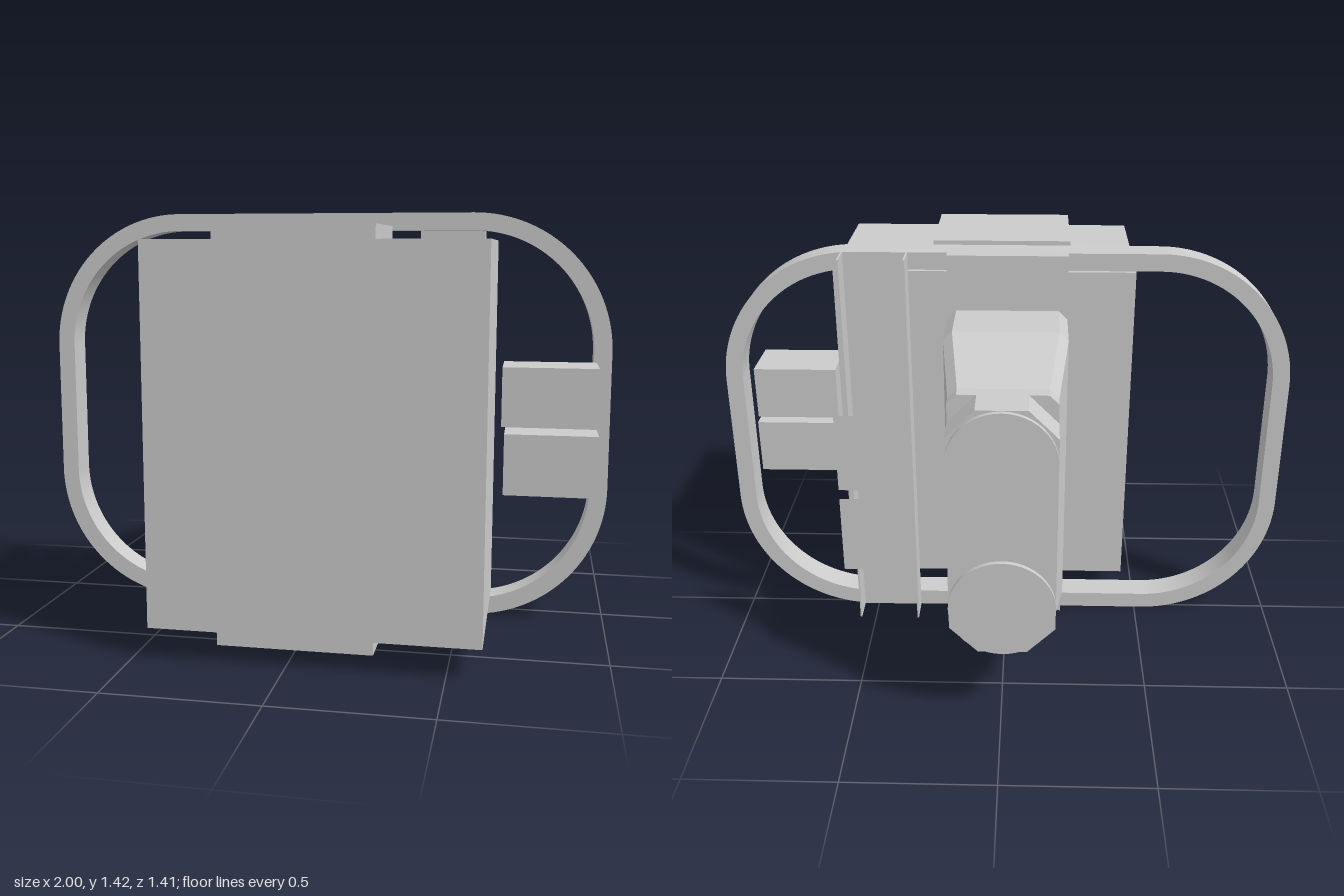
import * as THREE from 'three';
import { toCreasedNormals } from 'three/addons/utils/BufferGeometryUtils.js';

const H = 1.42; // overall height

// Rounded rectangle centred on x = 0 and y = H / 2
function roundedRect(target, w, h, r) {
  const x = w / 2 - r, y = h / 2 - r, c = H / 2;
  target.absarc(x, c + y, r, 0, Math.PI / 2);
  target.absarc(-x, c + y, r, Math.PI / 2, Math.PI);
  target.absarc(-x, c - y, r, Math.PI, Math.PI * 1.5);
  target.absarc(x, c - y, r, Math.PI * 1.5, Math.PI * 2);
  target.closePath();
  return target;
}

// Loft of chamfered rectangles running toward -z, rows of [z, halfWidth, bottom, top, chamfer]
function loft(rows, cx) {
  const pos = [], index = [], n = 8;
  for (const [z, w, b, t, c] of rows) {
    for (const [x, y] of [[w, b + c], [w, t - c], [w - c, t], [c - w, t],
      [-w, t - c], [-w, b + c], [c - w, b], [w - c, b]]) pos.push(cx + x, y, z);
  }
  for (let s = 0; s < rows.length - 1; s++) {
    for (let i = 0; i < n; i++) {
      const a = s * n + i, a2 = s * n + (i + 1) % n;
      index.push(a, a + n, a2, a2, a + n, a2 + n);
    }
  }
  const last = (rows.length - 1) * n;
  for (let i = 1; i < n - 1; i++) {
    index.push(0, i, i + 1, last, last + i + 1, last + i);
  }
  const g = new THREE.BufferGeometry();
  g.setAttribute('position', new THREE.Float32BufferAttribute(pos, 3));
  g.setIndex(index);
  const flat = g.toNonIndexed();
  flat.computeVertexNormals();
  return flat;
}

export function createModel() {
  const model = new THREE.Group();
  const material = new THREE.MeshStandardMaterial({ color: 0xcccccc });
  const thin = new THREE.MeshStandardMaterial({ color: 0xcccccc, side: THREE.DoubleSide });

  const add = (name, geometry, mat = material) => {
    const mesh = new THREE.Mesh(geometry, mat);
    mesh.name = name;
    model.add(mesh);
    return mesh;
  };
  // Box given by its limits on each axis
  const box = (name, x0, x1, y0, y1, z0, z1) =>
    add(name, new THREE.BoxGeometry(x1 - x0, y1 - y0, z1 - z0))
      .position.set((x0 + x1) / 2, (y0 + y1) / 2, (z0 + z1) / 2);
  // Sheet facing z
  const sheet = (name, x0, x1, y0, y1, z) =>
    add(name, new THREE.PlaneGeometry(x1 - x0, y1 - y0), thin)
      .position.set((x0 + x1) / 2, (y0 + y1) / 2, z);

  // Rounded ring frame
  const ring = roundedRect(new THREE.Shape(), 2, H, 0.475);
  ring.holes.push(roundedRect(new THREE.Path(), 1.88, H - 0.12, 0.415));
  const ringGeometry = new THREE.ExtrudeGeometry(ring, {
    depth: 0.097, bevelEnabled: false, curveSegments: 16,
  });
  add('ringFrame', toCreasedNormals(ringGeometry, 0.5)).position.z = -0.017;

  // Main box on the front with a pad above and below
  box('mainBox', -0.45, 0.61, 0.1, 1.325, 0.08, 0.705);
  box('topPad', -0.225, 0.275, 1.325, 1.37, 0.31, 0.69);
  box('bottomPad', -0.225, 0.275, 0.053, 0.1, 0.31, 0.69);

  // Small blocks beside the main box
  box('upperSideBlock', 0.64, 0.945, 0.725, 0.92, 0.15, 0.35);
  box('lowerSideBlock', 0.65, 0.95, 0.5, 0.702, 0.15, 0.35);

  // Mounting plate and tapered rear housing, with wider chamfers at its end
  box('mountingPlate', -0.21, 0.2, 0, H, -0.05, -0.017);
  add('rearHousing', loft([
    [-0.05, 0.205, 0.198, 1.228, 0.03],
    [-0.255, 0.205, 0.198, 1.228, 0.03],
    [-0.53, 0.172, 0.28, 1.145, 0.03],
    [-0.577, 0.172, 0.28, 1.145, 0.03],
    [-0.577, 0.172, 0.28, 1.145, 0.092],
    [-0.69, 0.172, 0.28, 1.145, 0.092],
  ], -0.005));

  // Two round discs on the rear end
  for (const y of [0.455, 0.97]) {
    const disc = add('rearDisc', new THREE.CylinderGeometry(0.173, 0.173, 0.018, 48));
    disc.rotation.x = Math.PI / 2;
    disc.position.set(-0.005, y, -0.696);
  }

  // Upright channel behind the ring: back sheet and two fins
  sheet('channelSheet', 0.34, 0.557, 0, H, -0.02);
  for (const x of [0.337, 0.557]) {
    box('channelFin', x - 0.003, x + 0.003, 0, H, -0.113, -0.017);
  }

  // Free-standing panels behind the channel
  sheet('upperPanel', 0.35, 0.545, 0.728, 1.0, -0.425);
  sheet('lowerPanel', 0.35, 0.545, 0.42, 0.695, -0.425);

  return model;
}
